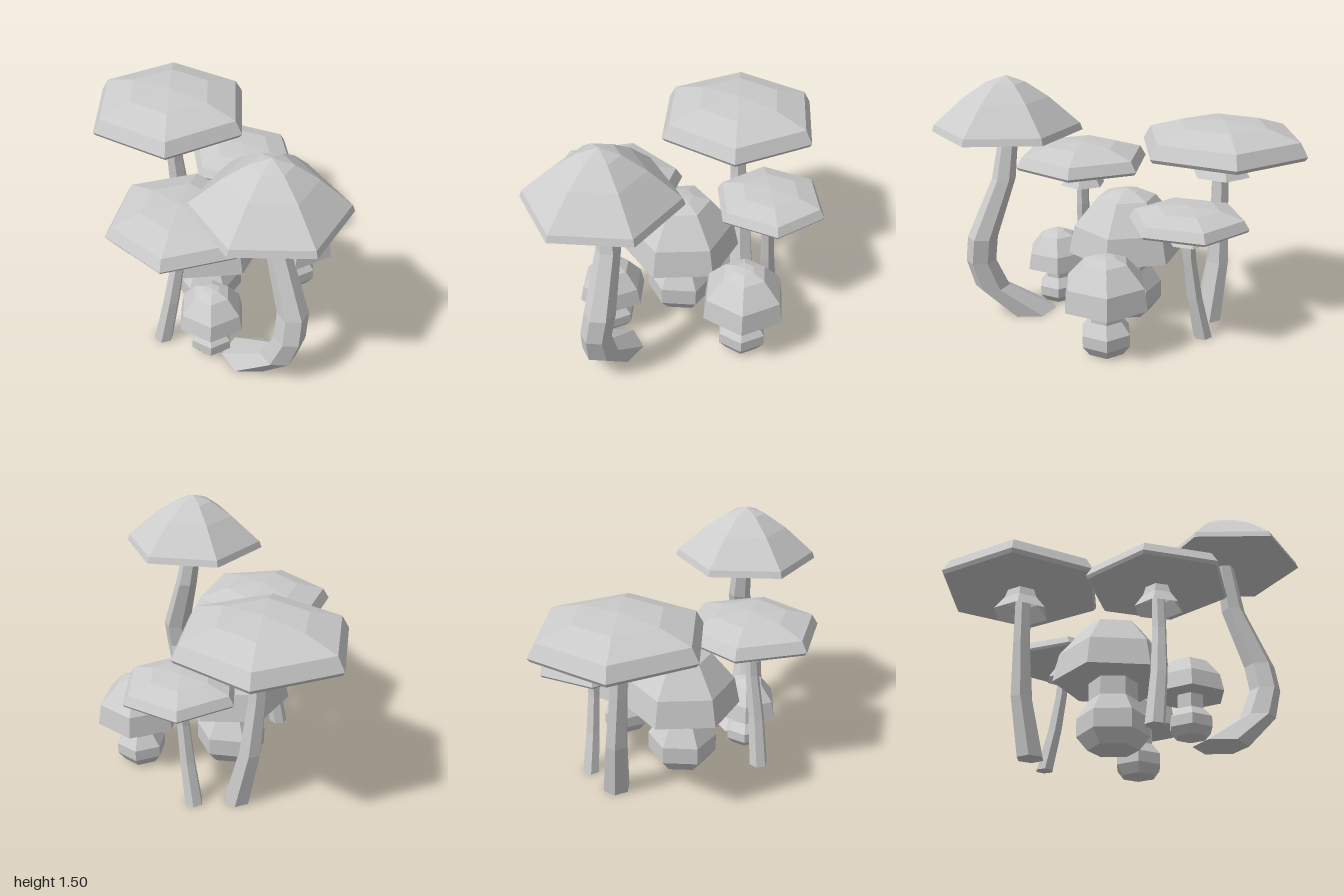
import * as THREE from 'three';

const SIDES = 6;
const material = new THREE.MeshStandardMaterial({ color: 0xcccccc, flatShading: true });
const openMaterial = new THREE.MeshStandardMaterial({ color: 0xcccccc, flatShading: true, side: THREE.DoubleSide });

// Six-sided turned part; profile is [radius, y] from bottom to top,
// corner is the angle in degrees of one corner, measured from +x toward +z
function turned(name, profile, x, z, corner, mat = material) {
  const points = profile.map(([r, y]) => new THREE.Vector2(r, y));
  const geometry = new THREE.LatheGeometry(points, SIDES, THREE.MathUtils.degToRad(90 - corner));
  const mesh = new THREE.Mesh(geometry, mat);
  mesh.name = name;
  mesh.position.set(x, 0, z);
  return mesh;
}

// Bent stem: rows of a cylinder are moved onto level rings [x, y, z, radius], bottom to top
function bentStem(rings, corner) {
  const n = rings.length - 1;
  const geometry = new THREE.CylinderGeometry(1, 1, 1, SIDES, n);
  geometry.rotateY(THREE.MathUtils.degToRad(90 - corner));
  const p = geometry.attributes.position;
  for (let i = 0; i < p.count; i++) {
    const [x, y, z, r] = rings[Math.round((p.getY(i) + 0.5) * n)];
    p.setXYZ(i, x + p.getX(i) * r, y, z + p.getZ(i) * r);
  }
  geometry.computeVertexNormals();
  const mesh = new THREE.Mesh(geometry, material);
  mesh.name = 'stem';
  return mesh;
}

function mushroom(name, ...parts) {
  const group = new THREE.Group();
  group.name = name;
  group.add(...parts);
  return group;
}

// Wide flat cap, a flared skirt below it and a slender leaning stem
function flatMushroom(name, { x, z, radius, rim, top, corner, skirt, stem }) {
  const h = top - rim;
  const cap = [[0, 0], [0.97, 0], [1, 0.12], [0.91, 0.55], [0.52, 0.88], [0, 1]]
    .map(([r, t]) => [r * radius, rim + t * h]);
  const [skirtRadius, skirtBottom] = skirt;
  const collar = [[skirtRadius, skirtBottom], [skirtRadius * 0.63, skirtBottom + (rim - skirtBottom) * 0.6],
    [skirtRadius * 0.5, rim + 0.01]];
  return mushroom(name,
    turned('cap', cap, x, z, corner),
    turned('skirt', collar, x, z, corner, openMaterial),
    bentStem(stem, corner));
}

// Domed cap on a short bulbous stem
function stoutMushroom(name, x, z, corner, cap, stem, stemCorner = corner) {
  const rim = cap[0][1];
  return mushroom(name,
    turned('cap', [[0, rim], ...cap], x, z, corner),
    turned('stem', [[0, 0], ...stem, [stem.at(-1)[0], rim + 0.01]], x, z, stemCorner));
}

export function createModel() {
  const model = new THREE.Group();
  model.name = 'mushroomCluster';

  model.add(
    flatMushroom('largeFlatMushroom', {
      x: -0.475, z: -0.3, radius: 0.525, rim: 1.04, top: 1.23, corner: 0, skirt: [0.18, 0.895],
      stem: [[-0.35, 0, -0.36, 0.085], [-0.43, 0.36, -0.34, 0.07], [-0.455, 0.7, -0.315, 0.056], [-0.465, 1.05, -0.3, 0.05]],
    }),
    flatMushroom('frontFlatMushroom', {
      x: 0.07, z: 0.43, radius: 0.434, rim: 0.87, top: 1.02, corner: 12, skirt: [0.145, 0.74],
      stem: [[-0.02, 0, 0.51, 0.058], [0.03, 0.32, 0.485, 0.05], [0.06, 0.6, 0.45, 0.042], [0.07, 0.88, 0.43, 0.038]],
    }),
    flatMushroom('backFlatMushroom', {
      x: -0.065, z: -0.52, radius: 0.353, rim: 0.71, top: 0.83, corner: -8, skirt: [0.115, 0.61],
      stem: [[-0.17, 0, -0.545, 0.056], [-0.115, 0.26, -0.53, 0.047], [-0.08, 0.5, -0.52, 0.04], [-0.065, 0.72, -0.52, 0.035]],
    }));

  model.add(
    stoutMushroom('largeStoutMushroom', 0, 0.02, -37,
      [[0.36, 0.41], [0.325, 0.58], [0.18, 0.755], [0.08, 0.79], [0, 0.805]],
      [[0.15, 0], [0.215, 0.08], [0.215, 0.19], [0.145, 0.3]], 30),
    stoutMushroom('backStoutMushroom', 0.405, -0.385, 0,
      [[0.265, 0.3], [0.245, 0.43], [0.135, 0.55], [0.06, 0.578], [0, 0.585]],
      [[0.11, 0], [0.155, 0.06], [0.155, 0.13], [0.1, 0.2]]),
    stoutMushroom('frontStoutMushroom', 0.27, 0.42, 0,
      [[0.21, 0.24], [0.19, 0.34], [0.11, 0.44], [0.05, 0.467], [0, 0.475]],
      [[0.09, 0], [0.13, 0.045], [0.13, 0.105], [0.08, 0.16]]));

  // Tallest mushroom: pointed cap on a strongly curved stem
  model.add(mushroom('tallMushroom',
    turned('cap', [[0, 1.17], [0.445, 1.17], [0.43, 1.21], [0.25, 1.37], [0.115, 1.46], [0, 1.5]], 0.605, 0.387, 30),
    bentStem([
      [0.5, 0, 0.37, 0.16], [0.73, 0.19, 0.43, 0.105], [0.795, 0.37, 0.435, 0.09],
      [0.79, 0.53, 0.405, 0.09], [0.655, 0.89, 0.36, 0.07], [0.6, 1.18, 0.375, 0.055],
    ], 30)));

  return model;
}
